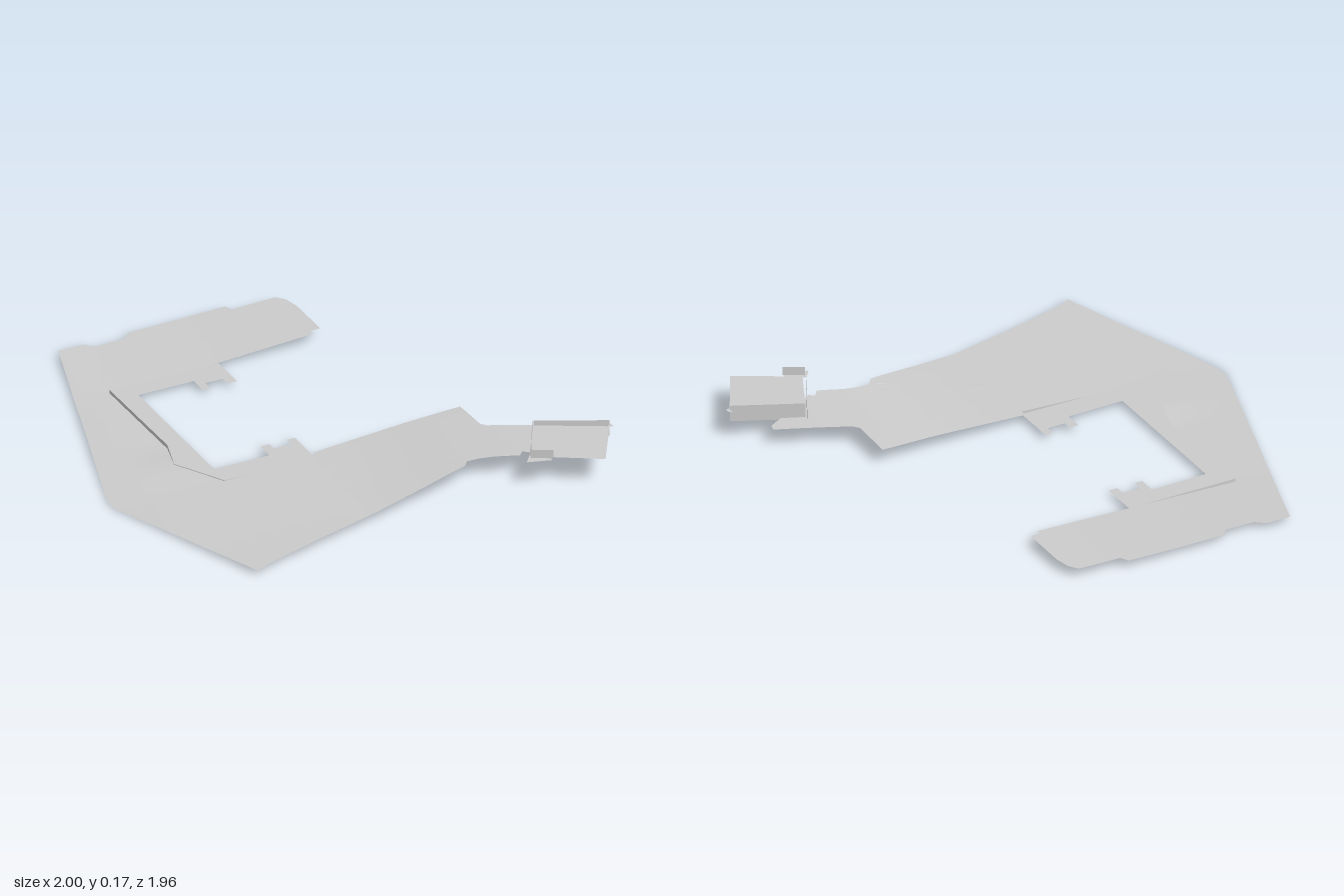
import * as THREE from 'three';
import { mergeVertices } from 'three/addons/utils/BufferGeometryUtils.js';

const material = new THREE.MeshStandardMaterial({ color: 0xcccccc, side: THREE.DoubleSide });
const COURT_Y = 0.025;
const DECK_Y = 0.13;

// Height profiles running along x, one per z row
const rows = [
  [-0.98, [[-1, 0.015], [-0.64, 0.025], [-0.1, 0.032], [0.37, 0.045]]],
  [-0.6, [[-1, 0.01], [-0.85, 0.018], [-0.6, 0.01], [-0.1, 0.027], [0.37, 0.05]]],
  [-0.1, [[-1, 0.004], [-0.82, 0.018], [-0.6, 0.008], [0.4, 0.03]]],
  [0.05, [[-1, 0.002], [-0.82, 0.018], [-0.64, 0.022], [0.4, 0.05]]],
  [0.25, [[-1, 0], [-0.82, 0.014], [-0.5, 0.022], [-0.11, 0.037], [0.3, 0.066], [0.56, 0.076], [0.87, 0.08]]],
  [0.72, [[-1, 0.01], [-0.73, 0.018], [-0.1, 0.042], [0.12, 0.07], [0.33, 0.1], [0.56, 0.1], [0.87, 0.085]]],
  [0.98, [[-0.73, 0.024], [-0.1, 0.045], [0.3, 0.1]]],
];

// Linear interpolation through sorted [position, value] pairs
function sample(pairs, t) {
  if (t <= pairs[0][0]) return pairs[0][1];
  for (let i = 1; i < pairs.length; i++) {
    const [a, va] = pairs[i - 1], [b, vb] = pairs[i];
    if (t <= b) return va + (vb - va) * (t - a) / (b - a);
  }
  return pairs[pairs.length - 1][1];
}
const terrainHeight = (x, z) => sample(rows.map(([rz, profile]) => [rz, sample(profile, x)]), z);

// Sheet bounded by an [x, z] outline, subdivided and lifted by a height rule
function sheet(outline, height, maxEdge = 10) {
  const shape = new THREE.Shape(outline.map(([x, z]) => new THREE.Vector2(x, -z)));
  const flat = new THREE.ShapeGeometry(shape);
  const pos = flat.attributes.position, index = flat.index;
  const out = [];
  const split = (a, b, c) => {
    const ab = a.distanceTo(b), bc = b.distanceTo(c), ca = c.distanceTo(a);
    const longest = Math.max(ab, bc, ca);
    if (longest <= maxEdge) {
      for (const p of [a, b, c]) out.push(p.x, height(p.x, -p.y), -p.y);
      return;
    }
    // Turn the corners so that a-b is the longest edge
    if (longest === bc) [a, b, c] = [b, c, a];
    else if (longest === ca) [a, b, c] = [c, a, b];
    const m = a.clone().add(b).multiplyScalar(0.5);
    split(a, m, c);
    split(m, b, c);
  };
  for (let i = 0; i < index.count; i += 3) {
    split(...[0, 1, 2].map(k => new THREE.Vector2().fromBufferAttribute(pos, index.getX(i + k))));
  }
  let g = new THREE.BufferGeometry();
  g.setAttribute('position', new THREE.Float32BufferAttribute(out, 3));
  g = mergeVertices(g, 1e-5);
  g.computeVertexNormals();
  return g;
}

// Upright strip along an [x, z] path between two height rules
function wall(path, low, high, steps = 1) {
  const pos = [], idx = [];
  const pts = [path[0]];
  for (let i = 1; i < path.length; i++) {
    for (let s = 1; s <= steps; s++) {
      pts.push([0, 1].map(k => THREE.MathUtils.lerp(path[i - 1][k], path[i][k], s / steps)));
    }
  }
  pts.forEach(([x, z], i) => {
    pos.push(x, low(x, z), z, x, high(x, z), z);
    if (i) {
      const n = 2 * i;
      idx.push(n - 2, n, n - 1, n, n + 1, n - 1);
    }
  });
  let g = new THREE.BufferGeometry();
  g.setAttribute('position', new THREE.Float32BufferAttribute(pos, 3));
  g.setIndex(idx);
  g = g.toNonIndexed();
  g.computeVertexNormals();
  return g;
}

export function createModel() {
  const group = new THREE.Group();
  const add = (name, geometry) => {
    const mesh = new THREE.Mesh(geometry, material);
    mesh.name = name;
    group.add(mesh);
  };
  const level = y => () => y;

  // Edge shared by the ground and the raised court
  const step = [[-0.11, -0.6], [-0.6, -0.605], [-0.595, -0.1], [-0.64, 0.05], [-0.52, 0.26], [-0.11, 0.27]];

  // Sloping ground with its two arms
  add('ground', sheet([
    ...step,
    [-0.11, 0.24], [0.56, 0.23], [0.56, 0.41], [0.58, 0.435], [0.87, 0.575], [0.86, 0.605],
    [0.72, 0.675], [0.62, 0.725], [0.6, 0.705], [0.575, 0.735], [0.48, 0.695], [0.42, 0.68], [0.365, 0.677],
    [0.34, 0.71], [-0.1, 0.795], [-0.4, 0.87], [-0.68, 0.95], [-0.73, 0.975],
    [-1, 0.23], [-1, 0.16], [-0.64, -0.98], [-0.53, -0.98], [-0.49, -0.945], [-0.36, -0.945],
    [-0.325, -0.98], [0.11, -0.98], [0.13, -0.945], [0.32, -0.945], [0.35, -0.91],
    [0.365, -0.84], [0.365, -0.63], [0.32, -0.63], [0.32, -0.605],
  ], terrainHeight, 0.08));

  // Flat court with paired tabs on both inner edges
  add('court', sheet([
    ...step,
    [-0.11, 0.08], [-0.145, 0.08], [-0.145, 0.12], [-0.225, 0.12], [-0.225, 0.08], [-0.265, 0.08],
    [-0.265, 0.16], [-0.515, 0.16], [-0.515, -0.515], [-0.265, -0.515], [-0.265, -0.435],
    [-0.23, -0.435], [-0.23, -0.48], [-0.15, -0.48], [-0.15, -0.435], [-0.11, -0.435],
  ], level(COURT_Y)));

  // Low curb closing the step between ground and court
  add('courtCurb', wall(step, terrainHeight, level(COURT_Y), 8));

  // Raised deck at the end of the longer arm, with a side landing
  add('deck', sheet([[0.71, 0.59], [0.98, 0.735], [0.845, 0.965], [0.595, 0.815]], level(DECK_Y)));
  add('landing', sheet([[0.585, 0.8], [0.67, 0.845], [0.645, 0.875], [0.55, 0.845]], level(DECK_Y)));
  add('deckSpur', sheet([[0.98, 0.71], [0.995, 0.715], [0.995, 0.74], [0.975, 0.74]], level(DECK_Y)));

  // Upright panels round the deck
  const panels = {
    sidePanel: [[0.71, 0.59], [0.985, 0.725], 0.08, 0.152],
    entrancePanelBack: [[0.665, 0.66], [0.73, 0.54], 0.085, DECK_Y],
    entrancePanelFront: [[0.565, 0.83], [0.645, 0.7], 0.085, DECK_Y],
    landingPanel: [[0.58, 0.82], [0.66, 0.865], DECK_Y, 0.168],
  };
  for (const [name, [a, b, low, high]] of Object.entries(panels)) {
    add(name, wall([a, b], level(low), level(high)));
  }
  return group;
}
